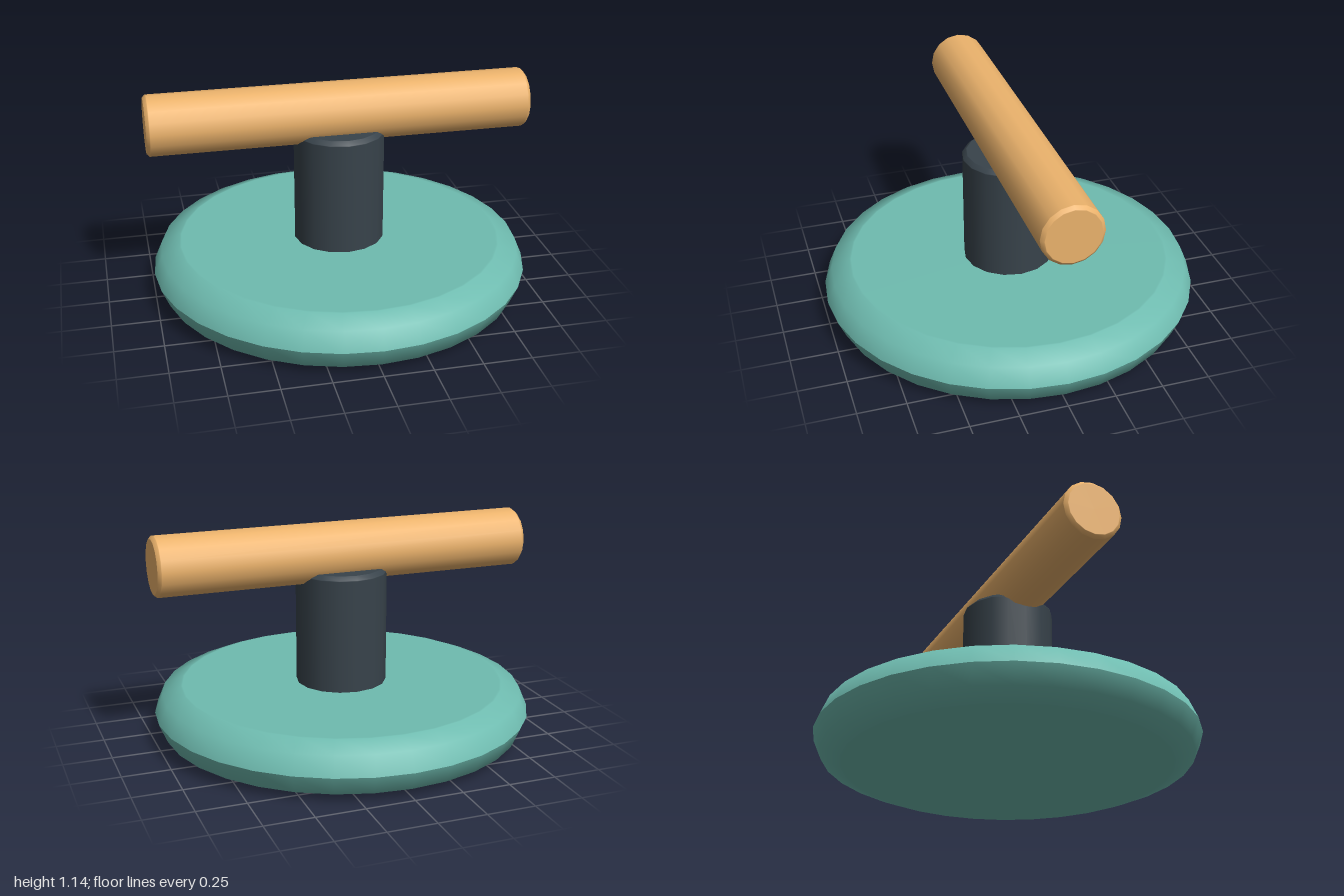
import * as THREE from 'three';
import { mergeGeometries } from 'three/addons/utils/BufferGeometryUtils.js';

const lathe = (points, sides) =>
  new THREE.LatheGeometry(points.map(([r, y]) => new THREE.Vector2(r, y)), sides);

function part(name, geometry, color) {
  const mesh = new THREE.Mesh(geometry, new THREE.MeshStandardMaterial({ color }));
  mesh.name = name;
  return mesh;
}

// Solid cylinder along y with narrow softened rims; the inner rings keep the caps flat
function softCylinder(radius, y0, y1, bevel, sides) {
  const r = radius - bevel;
  return lathe([
    [0, y0], [r - 0.004, y0], [r, y0],
    [radius, y0 + bevel], [radius, y0 + bevel + 0.004],
    [radius, y1 - bevel - 0.004], [radius, y1 - bevel],
    [r, y1], [r - 0.004, y1], [0, y1],
  ], sides);
}

export function createModel() {
  const model = new THREE.Group();

  // Round base: two bevelled halves meeting in a sharp edge at the middle
  const base = mergeGeometries([
    lathe([[0, 0.005], [0.85, 0.005], [0.86, 0.005], [0.958, 0.046], [1, 0.145]], 32),
    lathe([[1, 0.145], [0.958, 0.244], [0.86, 0.285], [0.85, 0.285], [0, 0.285]], 32),
  ]);
  base.translate(0, -0.005, 0);
  model.add(part('base', base, 0x6fbcb0));

  // Upright post
  model.add(part('post', softCylinder(0.24, 0.2, 0.9, 0.02, 16), 0x38434b));

  // Horizontal bar resting in the top of the post
  const bar = part('crossbar', softCylinder(0.157, -1, 1, 0.015, 16), 0xecb36c);
  bar.rotation.z = Math.PI / 2;
  bar.position.y = 0.984;
  model.add(bar);

  return model;
}
